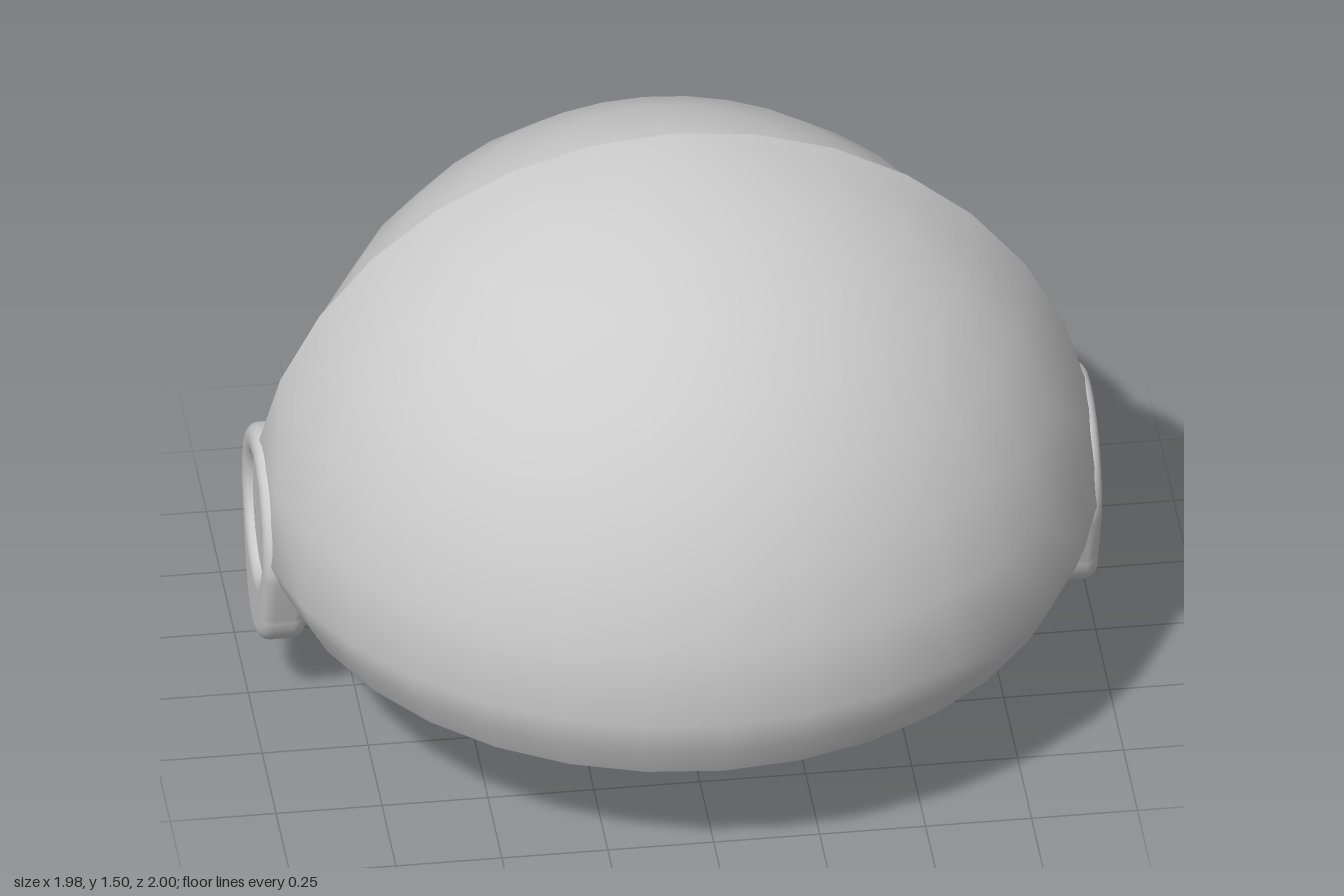
import * as THREE from 'three';
import { mergeVertices, toCreasedNormals } from 'three/addons/utils/BufferGeometryUtils.js';

const CY = 0.51;                 // height of the dome centre
const STEP = Math.PI / 16;       // 32 sides to the full circle
const INNER = 0.91;
const material = new THREE.MeshStandardMaterial({ color: 0xcccccc, side: THREE.DoubleSide });

function add(parent, name, geometry) {
  const mesh = new THREE.Mesh(geometry, material);
  mesh.name = name;
  parent.add(mesh);
  return mesh;
}

const onSphere = (r, i) => new THREE.Vector2(i === 8 ? 0 : r * Math.cos(i * STEP), CY + r * Math.sin(i * STEP));

// Move every vertex of a geometry by a rule
function warp(geometry, rule) {
  const pos = geometry.attributes.position;
  const v = new THREE.Vector3();
  for (let i = 0; i < pos.count; i++) {
    v.fromBufferAttribute(pos, i);
    rule(v);
    pos.setXYZ(i, v.x, v.y, v.z);
  }
  return geometry;
}

// Thick front half shell with a tucked-in lower lip
function makeVisor(parent) {
  const profile = [];
  for (let i = 8; i >= 0; i--) profile.push(onSphere(INNER, i));
  profile.push(new THREE.Vector2(0.9, 0.36), new THREE.Vector2(0.93, 0.335), new THREE.Vector2(0.975, 0.42));
  for (let i = 0; i <= 8; i++) profile.push(onSphere(1, i));

  const shell = new THREE.LatheGeometry(profile, 16, -Math.PI / 2, Math.PI);
  warp(shell, v => {
    const r = Math.hypot(v.x, v.z);
    if (v.y < 0.45) v.y += 0.035 * (1 - Math.abs(v.z) / r);
    v.x = THREE.MathUtils.clamp(v.x, -0.985, 0.985);
    // dent under the ear disc
    if (r > 0.95 && Math.hypot(v.z, v.y - CY) < 0.12) v.x = 0.92 * Math.sign(v.x);
  });

  // Flat rim that closes the shell at z = 0
  const pos = shell.attributes.position;
  const n = profile.length;
  const edge = [];
  for (let i = pos.count - n; i < pos.count; i++) edge.push(new THREE.Vector2(pos.getX(i), pos.getY(i)));
  const mirrored = edge.slice(1, -1).reverse().map(p => new THREE.Vector2(-p.x, p.y));
  const rim = new THREE.ShapeGeometry(new THREE.Shape([...edge, ...mirrored]));
  rim.rotateY(Math.PI);

  add(parent, 'visor', toCreasedNormals(shell, 0.9));
  add(parent, 'visorRim', rim);
}

// Back half dome, its lower edge sloping down to the rear
function makeDome(parent) {
  const profile = [];
  for (let i = -2; i <= 8; i++) profile.push(onSphere(INNER, i));
  const dome = new THREE.LatheGeometry(profile, 16, Math.PI / 2, Math.PI);
  warp(dome, v => {
    const cut = 0.35 + 0.24 * v.z;
    if (v.y >= cut) return;
    const k = Math.sqrt(INNER ** 2 - (cut - CY) ** 2) / Math.hypot(v.x, v.z);
    v.set(v.x * k, cut, v.z * k);
  });
  const pos = dome.attributes.position;
  const normal = new THREE.Vector3();
  for (let i = 0; i < pos.count; i++) {
    normal.fromBufferAttribute(pos, i);
    normal.y -= CY;
    normal.normalize();
    dome.attributes.normal.setXYZ(i, normal.x, normal.y, normal.z);
  }
  add(parent, 'backDome', dome);
}

// Rounded ear ring with a tongue below and a recessed disc
function makeEar(parent, side) {
  const ear = new THREE.Group();
  ear.name = side > 0 ? 'leftEar' : 'rightEar';
  const bevel = 0.03;
  const shape = new THREE.Shape();
  shape.absarc(0, 0, 0.19, -0.25, Math.PI + 0.25, false);
  shape.absarc(0, -0.16, 0.13, Math.PI + 0.2, 2 * Math.PI - 0.2, false);
  shape.closePath();
  const hole = new THREE.Path();
  hole.absarc(0, 0, 0.145 + bevel, 0, Math.PI * 2, true);
  shape.holes.push(hole);
  let ring = new THREE.ExtrudeGeometry(shape, {
    depth: 0.05, bevelEnabled: true, bevelSize: bevel, bevelThickness: bevel, bevelSegments: 4, curveSegments: 14,
  });
  ring.deleteAttribute('uv');
  ring.deleteAttribute('normal');
  ring = mergeVertices(ring, 1e-4);
  ring.computeVertexNormals();
  ring.translate(0, 0, -0.025);
  add(ear, 'earRing', ring);

  const disc = new THREE.CylinderGeometry(0.15, 0.15, 0.07, 32);
  disc.rotateX(Math.PI / 2);
  add(ear, 'earDisc', disc);

  ear.rotation.y = side * Math.PI / 2;
  ear.position.set(side * 0.935, CY, 0);
  parent.add(ear);
}

// Neck band: sections swept round the back from ear to ear
function makeBand(parent) {
  // angle from the rear in degrees, top height, bottom height
  const half = [
    [0, 0.31, 0.155], [12, 0.315, 0.008], [25, 0.335, 0.035], [32, 0.26, 0.05], [36, 0.21, 0.06], [42, 0.21, 0.09],
    [52, 0.29, 0.14], [62, 0.35, 0.18], [66, 0.43, 0.2], [76, 0.465, 0.245], [85, 0.5, 0.27],
  ];
  const stations = [...half.slice(1).reverse().map(([a, t, b]) => [-a, t, b]), ...half];
  const positions = [];
  const index = [];
  const n = 6;
  stations.forEach(([deg, top, bottom], s) => {
    const a = THREE.MathUtils.degToRad(deg);
    const h = top - bottom;
    const outer = 1 - 0.015 * Math.min(1, Math.abs(deg) / 50);
    const tuck = deg === 0 ? 0.97 : 0.89;
    const section = [
      [0.885, top - 0.04], [0.925, top], [outer - 0.01, top - 0.01],
      [outer - 0.005, bottom + h * 0.5], [tuck, bottom], [0.87, bottom + 0.03],
    ];
    for (const [r, y] of section) positions.push(r * Math.sin(a), y, -r * Math.cos(a));
    if (s === 0) return;
    for (let j = 0; j < n; j++) {
      const k = (j + 1) % n;
      const p = (s - 1) * n, q = s * n;
      index.push(p + j, q + j, q + k, p + j, q + k, p + k);
    }
  });
  const band = new THREE.BufferGeometry();
  band.setAttribute('position', new THREE.Float32BufferAttribute(positions, 3));
  band.setIndex(index);
  add(parent, 'neckBand', toCreasedNormals(band, 0.9));
}

export function createModel() {
  const helmet = new THREE.Group();
  helmet.name = 'helmet';
  makeVisor(helmet);
  makeDome(helmet);
  makeBand(helmet);
  for (const side of [1, -1]) makeEar(helmet, side);
  return helmet;
}
